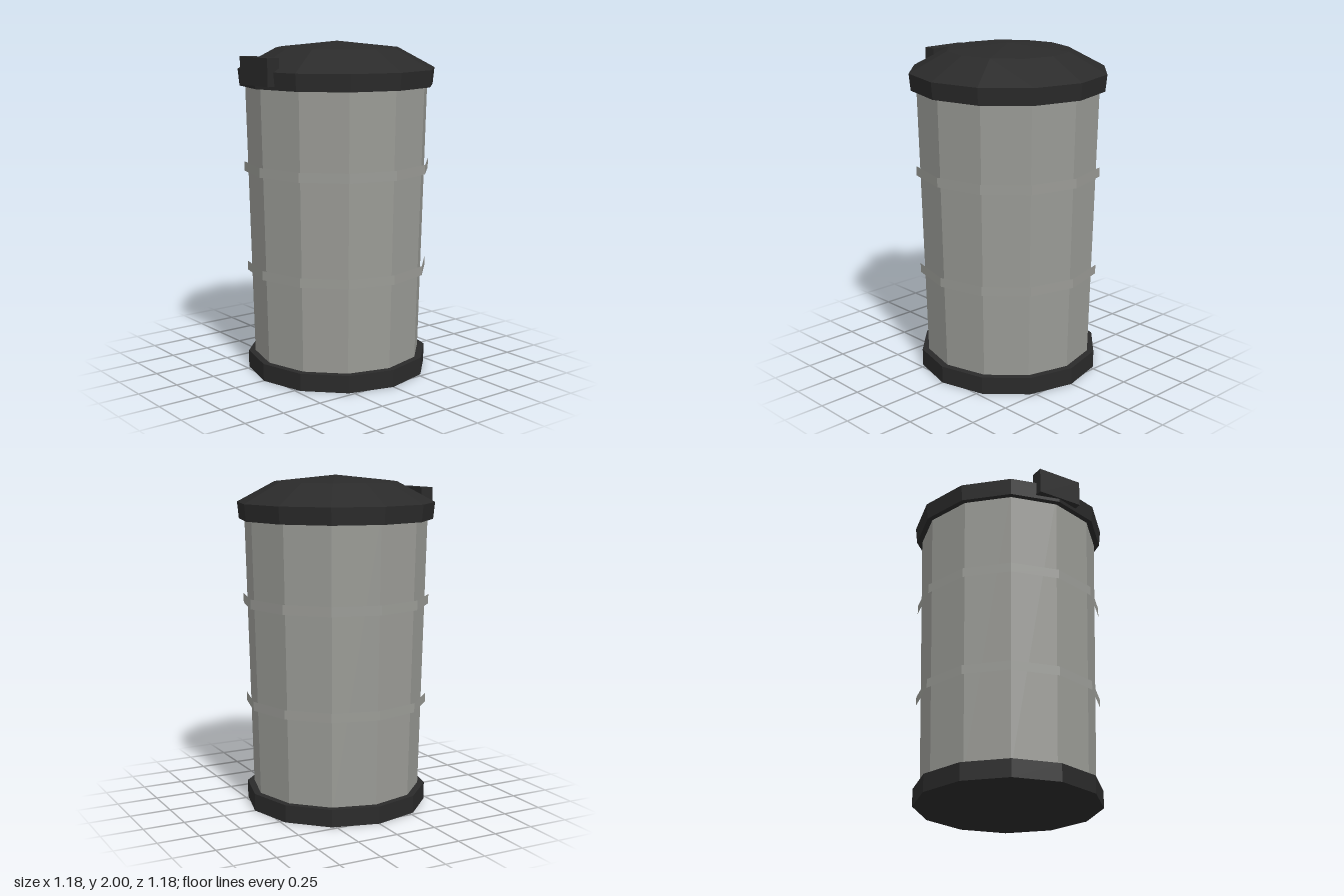
import * as THREE from 'three';

const SIDES = 12;

export function createModel() {
  const model = new THREE.Group();
  model.name = 'trashCan';

  const metal = new THREE.MeshStandardMaterial({ name: 'grey metal', color: 0x9a9b96, flatShading: true });
  const dark = new THREE.MeshStandardMaterial({ name: 'dark plastic', color: 0x2a2a2a, flatShading: true });

  const add = (name, geometry, material) => {
    const faceted = geometry.toNonIndexed();
    faceted.computeVertexNormals();
    const mesh = new THREE.Mesh(faceted, material);
    mesh.name = name;
    model.add(mesh);
    return mesh;
  };

  // Twelve-sided ring or drum between two heights
  const drum = (name, rBottom, rTop, y0, y1, material, open = false) => {
    const g = new THREE.CylinderGeometry(rTop, rBottom, y1 - y0, SIDES, 1, open);
    g.translate(0, (y0 + y1) / 2, 0);
    return add(name, g, material);
  };

  // Base and slightly flared body
  drum('base', 0.55, 0.55, 0, 0.105, dark);
  drum('body', 0.508, 0.55, 0.06, 1.8, metal);

  // Thin open hoops around the body
  drum('lowerBand', 0.549, 0.549, 0.62, 0.675, metal, true);
  drum('upperBand', 0.56, 0.56, 1.23, 1.287, metal, true);

  // Lid: closed underside, rim and shallow faceted dome
  const profile = [[0, 1.74], [0.582, 1.74], [0.592, 1.84], [0.365, 1.962], [0, 2]]
    .map(([r, y]) => new THREE.Vector2(r, y));
  add('lid', new THREE.LatheGeometry(profile, SIDES), dark);

  // Block handle at the front of the lid
  const handle = add('handle', new THREE.BoxGeometry(0.284, 0.16, 0.08), dark);
  handle.position.set(0, 1.84, 0.553);

  return model;
}
